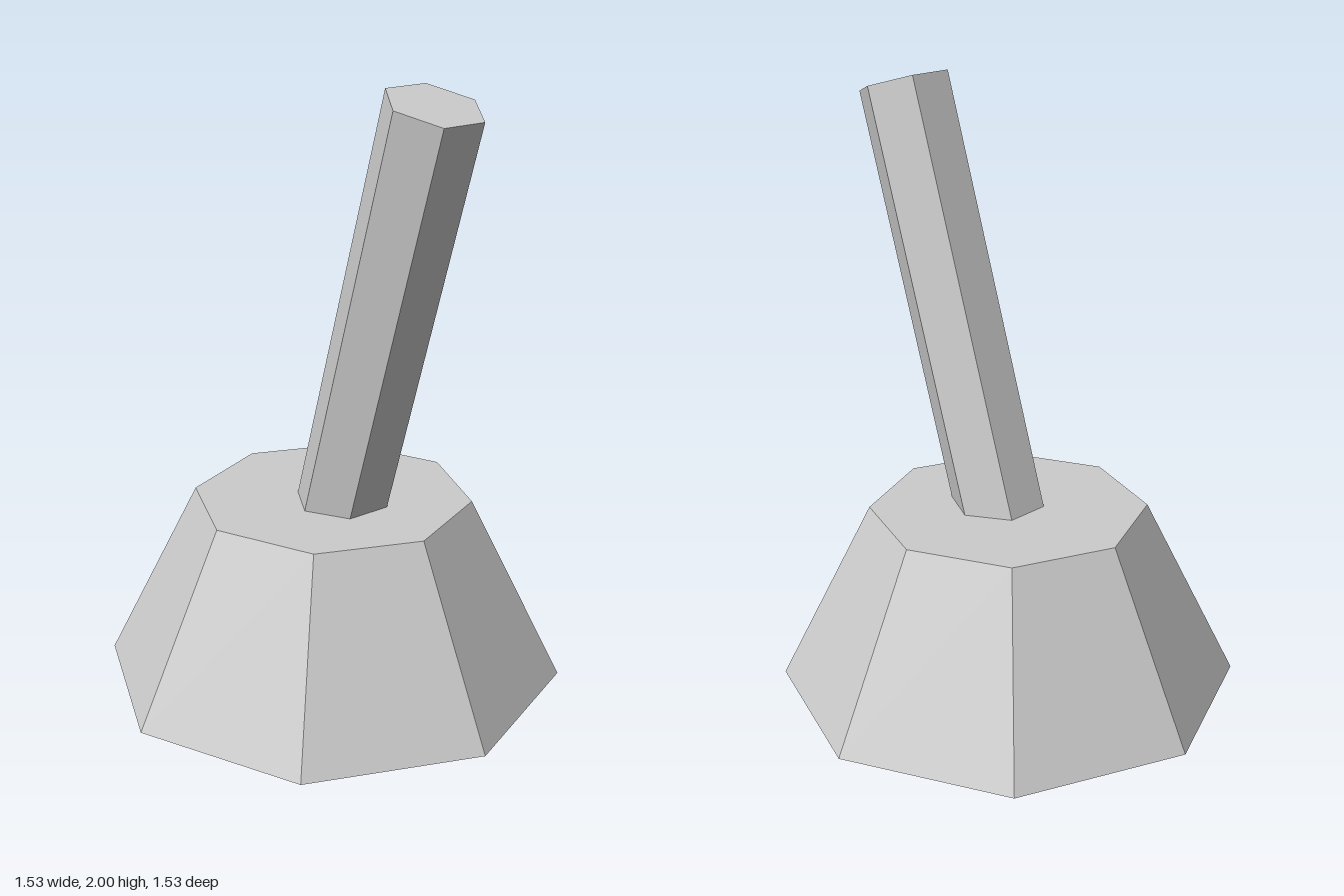
import * as THREE from 'three';

export function createModel() {
  const model = new THREE.Group();
  model.name = 'lever';
  const grey = new THREE.MeshStandardMaterial({ color: 0xcccccc, flatShading: true });
  grey.name = 'grey';

  // Octagonal tapered base
  const baseHeight = 0.614;
  const base = new THREE.Mesh(new THREE.CylinderGeometry(0.46, 0.766, baseHeight, 8), grey);
  base.name = 'base';
  base.position.y = baseHeight / 2;
  model.add(base);

  // Hexagonal handle, pivoting inside the base and leaning to +x
  const tilt = 0.3, length = 1.53;
  const handleGeometry = new THREE.CylinderGeometry(0.153, 0.153, length, 6);
  handleGeometry.translate(0, -length / 2, 0); // origin at the tip
  const handle = new THREE.Mesh(handleGeometry, grey);
  handle.name = 'handle';
  handle.position.set(0.468, 1.961, 0);
  handle.rotation.z = -tilt;
  model.add(handle);

  return model;
}
